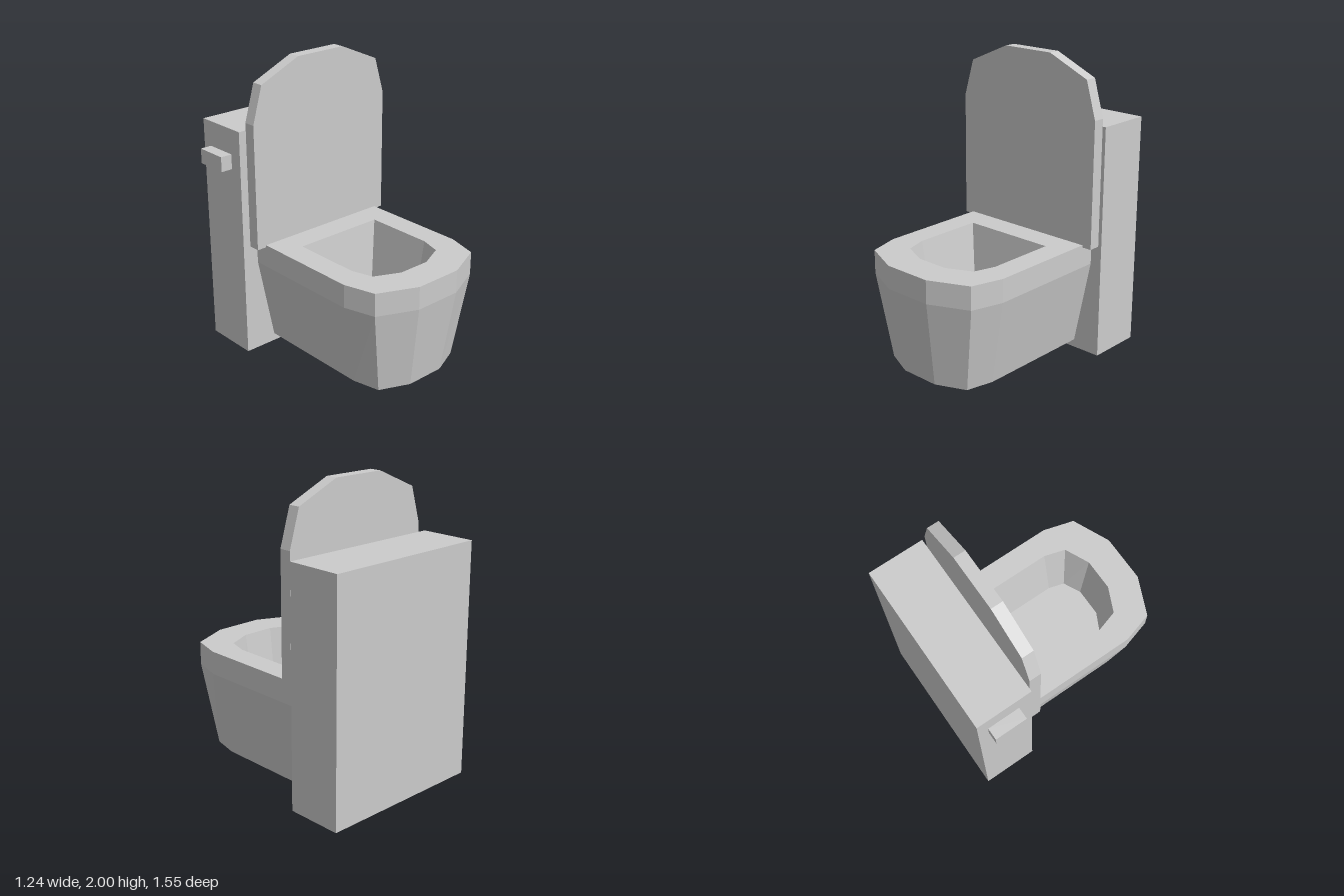
import * as THREE from 'three';

const material = new THREE.MeshStandardMaterial({ color: 0xcccccc, flatShading: true });
const BOWL_X = 0.055; // the bowl and lid share this centre line

function addMesh(group, name, geometry) {
  const mesh = new THREE.Mesh(geometry, material);
  mesh.name = name;
  group.add(mesh);
  return mesh;
}

// Box given by its lower and upper corners
function addBox(group, name, min, max) {
  const size = max.map((v, i) => v - min[i]);
  const mesh = addMesh(group, name, new THREE.BoxGeometry(...size));
  mesh.position.set(...max.map((v, i) => (v + min[i]) / 2));
}

// Mirrors a half outline [distance from centre, other coordinate] into a full one, left to right
function mirrorOutline(half) {
  const left = half.map(([d, v]) => [BOWL_X - d, v]);
  const right = [...half].reverse().map(([d, v]) => [BOWL_X + d, v]);
  return [...left, ...right];
}

// Joins successive rings with quads and closes both ends
function loft(rings) {
  const n = rings[0].length;
  const last = (rings.length - 1) * n;
  const index = [];
  for (let r = 0; r < rings.length - 1; r++) {
    for (let i = 0; i < n; i++) {
      const a = r * n + i, b = r * n + (i + 1) % n;
      index.push(a, b, b + n, a, b + n, a + n);
    }
  }
  for (let i = 1; i < n - 1; i++) {
    index.push(0, i + 1, i);
    index.push(last, last + i, last + i + 1);
  }
  const geometry = new THREE.BufferGeometry();
  geometry.setAttribute('position', new THREE.Float32BufferAttribute(rings.flat(2), 3));
  geometry.setIndex(index);
  const flat = geometry.toNonIndexed();
  flat.computeVertexNormals();
  return flat;
}

export function createModel() {
  const model = new THREE.Group();
  model.name = 'toilet';

  // Cistern and flush handle
  addBox(model, 'cistern', [-0.54, 0, -0.78], [0.62, 1.57, -0.4]);
  addBox(model, 'flushHandle', [-0.62, 1.3, -0.71], [-0.54, 1.4, -0.49]);

  // Bowl: outside from the base up, across the rim, then down to the inner floor
  const foot = [[0.375, -0.39], [0.375, 0.42], [0.333, 0.605], [0.135, 0.69]];
  const rim = [[0.485, -0.4], [0.485, 0.45], [0.425, 0.66], [0.165, 0.775]];
  const opening = [[0.323, -0.132], [0.323, 0.343], [0.28, 0.487], [0.11, 0.565]];
  const floor = [[0.25, -0.075], [0.25, 0.337], [0.218, 0.445], [0.098, 0.505]];
  const sections = [[foot, 0.06], [rim, 0.64], [rim, 0.795], [opening, 0.795], [floor, 0.36]];
  addMesh(model, 'bowl', loft(sections.map(([half, y]) =>
    mirrorOutline(half).map(([x, z]) => [x, y, z]))));

  // Raised lid
  const lidOutline = mirrorOutline([[0.552, 0.78], [0.552, 1.625], [0.48, 1.87], [0.185, 2]]);
  const lidShape = new THREE.Shape(lidOutline.map(([x, y]) => new THREE.Vector2(x, y)));
  const lid = new THREE.ExtrudeGeometry(lidShape, { depth: 0.08, bevelEnabled: false });
  addMesh(model, 'lid', lid).position.z = -0.385;

  return model;
}
